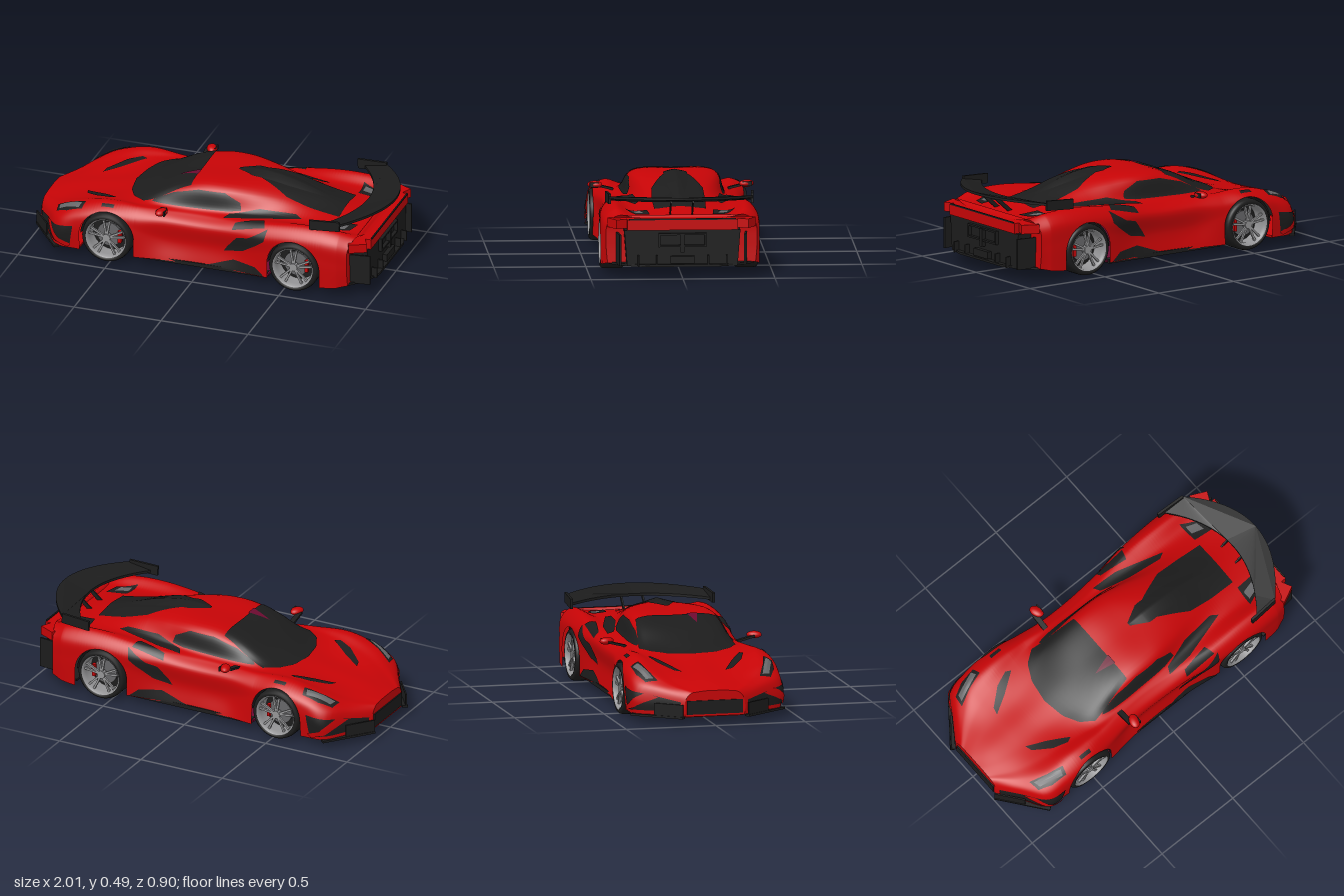
import * as THREE from 'three';

const mat = (name, color) => {
  const m = new THREE.MeshStandardMaterial({ color, side: THREE.DoubleSide });
  m.name = name;
  return m;
};
const red = mat('body red', 0xc60406);
const black = mat('carbon black', 0x1c1c1c);
const silver = mat('rim grey', 0x949496);
const lampGrey = mat('lamp grey', 0x666668);
const purple = mat('floor maroon', 0x6c0a30);

// Half-section tracks along the car, nose at -x
// x, sillZ, midZ, midY, upperZ, upperY
const LOWER = [
  [-0.98, .165, .17, .10, .16, .15], [-0.9, .28, .29, .12, .27, .18], [-0.82, .40, .41, .14, .38, .21],
  [-0.7, .42, .43, .19, .415, .25], [-0.52, .425, .43, .25, .41, .295], [-0.36, .415, .405, .2, .395, .27],
  [-0.2, .395, .37, .16, .375, .27], [0, .385, .365, .16, .375, .27], [.2, .39, .375, .17, .39, .28],
  [.38, .41, .41, .2, .415, .29], [.56, .425, .43, .24, .42, .315], [.75, .43, .43, .2, .42, .31],
  [.94, .40, .41, .18, .40, .29],
];
// x, fenderZ, fenderY, beltZ, beltY, roofZ, roofY, centreY
const UPPER = [
  [-0.98, .13, .18, .10, .185, .05, .19, .19], [-0.87, .24, .215, .17, .215, .09, .22, .225],
  [-0.75, .33, .275, .22, .258, .11, .247, .25], [-0.6, .34, .322, .25, .298, .12, .275, .277],
  [-0.48, .34, .33, .27, .312, .15, .305, .31], [-0.36, .34, .32, .29, .317, .2, .34, .36],
  [-0.2, .325, .312, .285, .327, .225, .405, .425], [-0.05, .32, .312, .28, .332, .23, .443, .46],
  [.1, .33, .317, .275, .337, .225, .448, .468], [.25, .35, .332, .265, .337, .195, .433, .466],
  [.4, .365, .352, .255, .34, .155, .41, .443], [.58, .36, .37, .26, .337, .13, .368, .395],
  [.75, .355, .366, .27, .33, .13, .337, .347], [.94, .34, .335, .26, .325, .13, .317, .315],
];
const X0 = -0.98, X1 = 0.94, BASE = 0.05;
const WHEELS = [-0.52, 0.555], HUB = 0.142, ARCH = 0.153;

function track(rows, x) {
  let i = 0;
  while (i < rows.length - 2 && x > rows[i + 1][0]) i++;
  const a = rows[i], b = rows[i + 1], p = rows[i - 1] || a, n = rows[i + 2] || b;
  const h = b[0] - a[0], t = (x - a[0]) / h, t2 = t * t, t3 = t2 * t;
  return a.map((v, k) => {
    const ma = (b[k] - p[k]) / (b[0] - p[0]), mb = (n[k] - v) / (n[0] - a[0]);
    return (2 * t3 - 3 * t2 + 1) * v + (t3 - 2 * t2 + t) * h * ma + (3 * t2 - 2 * t3) * b[k] + (t3 - t2) * h * mb;
  });
}

// Full cross-section at x, from one sill over the roof to the other
function section(x) {
  x = Math.min(X1, Math.max(X0, x));
  const l = track(LOWER, x), u = track(UPPER, x);
  const half = [[l[1], BASE], [l[2], l[3]], [l[4], l[5]], [u[1], u[2]], [u[3], u[4]], [u[5], u[6]]];
  const pts = half.map(([z, y]) => new THREE.Vector3(x, y, z));
  const other = half.map(([z, y]) => new THREE.Vector3(x, y, -z)).reverse();
  return new THREE.CatmullRomCurve3([...pts, new THREE.Vector3(x, u[7], 0), ...other]).getPoints(96);
}
// Highest value on one axis where the section crosses c on the other
function crossing(x, c, from, to) {
  const s = section(x);
  let best = -1;
  for (let i = 0; i < s.length - 1; i++) {
    const a = s[i], b = s[i + 1], d = b[from] - a[from];
    if ((a[from] - c) * (b[from] - c) <= 0 && Math.abs(d) > 1e-9)
      best = Math.max(best, a[to] + (b[to] - a[to]) * (c - a[from]) / d);
  }
  return best < 0 ? (to === 'y' ? 0.16 : 0.2) : best;
}
const topAt = (x, z) => crossing(x, z, 'z', 'y');
const sideAt = (x, y) => crossing(x, y, 'y', 'z');

function grid(rows) {
  const n = rows[0].length, pos = [], idx = [];
  rows.forEach(r => r.forEach(p => pos.push(p.x, p.y, p.z)));
  for (let i = 0; i < rows.length - 1; i++)
    for (let j = 0; j < n - 1; j++) {
      const a = i * n + j, b = a + n;
      idx.push(a, b, a + 1, b, b + 1, a + 1);
    }
  const g = new THREE.BufferGeometry();
  g.setAttribute('position', new THREE.Float32BufferAttribute(pos, 3));
  g.setIndex(idx);
  g.computeVertexNormals();
  return g;
}

// Body sections, cut by the wheel arches and swept forward at the tail corners
function bodyRows() {
  const xs = [];
  for (let i = 0; i <= 110; i++) xs.push(X0 + (X1 - X0) * i / 110);
  WHEELS.forEach(w => { for (let i = 0; i <= 30; i++) xs.push(w + ARCH * Math.cos(Math.PI * i / 30)); });
  xs.sort((a, b) => a - b);
  return xs.map(x => {
    let floor = BASE + Math.max(0, x - .72) * .1;
    WHEELS.forEach(w => {
      const d = Math.abs(x - w);
      if (d < ARCH - 1e-5) floor = HUB + Math.sqrt(ARCH * ARCH - d * d);
    });
    const cut = sideAt(x, floor + 1e-4), sweep = .09 * Math.max(0, (x - .8) / .14);
    return section(x).map(p => {
      const low = p.y < floor && (x > .71 || Math.abs(p.z) > .36);
      const z = low ? Math.sign(p.z) * cut : p.z;
      return new THREE.Vector3(x - sweep * (z / .43) ** 2, low ? floor : p.y, z);
    });
  });
}

export function createModel() {
  const car = new THREE.Group();
  car.name = 'sportsCar';
  const add = (name, geo, m, parent = car) => {
    const o = new THREE.Mesh(geo, m);
    o.name = name;
    parent.add(o);
    return o;
  };
  const box = (name, m, [w, h, d], [x, y, z], parent = car) => {
    const o = add(name, new THREE.BoxGeometry(w, h, d), m, parent);
    o.position.set(x, y, z);
    return o;
  };
  const both = f => [1, -1].forEach(f);
  const shape = pts => new THREE.Shape(pts.map(p => new THREE.Vector2(...p)));
  const along = (pts, t) => {
    const f = t * (pts.length - 1), i = Math.min(pts.length - 2, Math.floor(f)), k = f - i;
    return pts[i].map((v, j) => v + (pts[i + 1][j] - v) * k);
  };
  // Thin panel laid on the body between two edges, given as (x, z) on top or (x, y) on the side
  const panel = (name, m, a, b, { side = false, mirror = true, lift = 0, gap = .005 } = {}) => {
    const rows = [];
    for (let i = 0; i <= 28; i++) {
      const row = [], p = along(a, i / 28), q = along(b, i / 28);
      for (let j = 0; j <= 14; j++) {
        const k = j / 14, x = p[0] + (q[0] - p[0]) * k, c = p[1] + (q[1] - p[1]) * k;
        const up = gap + lift * Math.sin(Math.PI * i / 28) * (1 - Math.abs(2 * k - 1));
        row.push(side ? new THREE.Vector3(x, c, sideAt(x, c) + gap) : new THREE.Vector3(x, topAt(x, c) + up, c));
      }
      rows.push(row);
    }
    add(name, grid(rows), m);
    if (mirror) add(name, grid(rows.map(r => r.map(p => new THREE.Vector3(p.x, p.y, -p.z)))), m);
  };

  // Body shell with closed nose and tail
  const rows = bodyRows();
  add('bodyShell', grid(rows), red);
  [rows[0], rows[rows.length - 1]].forEach((r, i) => {
    const cap = r.slice(0, 49).map((p, j) => [p, r[96 - j]]);
    add(i ? 'tailPanel' : 'nosePanel', grid(cap), red);
  });

  // Undertray, floor with wheel notches, and rear diffuser
  const slab = (name, m, top, half) => {
    const s = shape([...half, ...half.map(([x, z]) => [x, -z]).reverse()]);
    add(name, new THREE.ExtrudeGeometry(s, { depth: .012, bevelEnabled: false }).rotateX(Math.PI / 2).translate(0, top, 0), m);
  };
  slab('noseUndertray', red, .058, [[-.97, .15], [-.81, .39], [-.68, .41]]);
  slab('floor', purple, .058, [[-.68, .28], [-.36, .28], [-.36, .38], [-.1, .35], [.2, .35], [.4, .38], [.4, .28], [.73, .28]]);
  slab('diffuserFloor', black, .076, [[.71, .41], [.85, .39], [.93, .31], [.975, .2]]);
  both(s => box('sideSkirt', black, [.74, .022, .05], [.02, .05, s * .365]));

  // Glass and roof
  const fan = pts => [...pts, ...pts.slice(0, -1).reverse().map(([x, z]) => [x, -z])];
  panel('windscreen', black, fan([[-.36, -.27], [-.43, -.22], [-.475, -.13], [-.495, 0]]),
    fan([[-.1, -.225], [-.1, -.15], [-.1, -.07], [-.1, 0]]), { mirror: false });
  panel('windscreenMark', purple, [[-.21, .09], [-.095, .06]], [[-.205, .092], [-.095, .12]], { mirror: false, gap: .008 });
  panel('sideWindow', black, [[-.31, .333], [-.16, .334], [0, .338], [.13, .342], [.2, .352]],
    [[-.3, .342], [-.19, .395], [-.05, .432], [.1, .434], [.19, .39]], { side: true });
  panel('engineCover', black, [[.13, -.005], [.27, -.075], [.42, -.14], [.56, -.145], [.72, -.14]],
    [[.13, .005], [.27, .075], [.42, .14], [.56, .145], [.72, .14]], { mirror: false });
  panel('roofScoop', black, [[.1, -.01], [.2, -.065], [.4, -.06], [.62, -.02]],
    [[.1, .01], [.2, .065], [.4, .06], [.62, .02]], { mirror: false, lift: 0.016 });

  // Vents and lamps on the top surfaces
  panel('rearQuarterVent', black, [[.12, .325], [.27, .315], [.54, .235]], [[.14, .285], [.3, .235], [.5, .212]]);
  panel('shoulderIntake', black, [[.19, .385], [.38, .39]], [[.2, .355], [.36, .33]]);
  panel('hoodVent', black, [[-.73, .12], [-.63, .175], [-.52, .25]], [[-.72, .16], [-.63, .235], [-.55, .265]]);
  panel('lampSurround', black, [[-.84, .285], [-.75, .325], [-.66, .35]], [[-.83, .35], [-.76, .385], [-.67, .395]]);
  panel('headlight', lampGrey, [[-.825, .305], [-.68, .358]], [[-.815, .345], [-.69, .388]], { lift: .004, gap: .008 });
  panel('fenderSlot', black, [[-.56, .37], [-.49, .37]], [[-.56, .39], [-.49, .39]]);
  panel('rearDeckVent', black, [[.72, .18], [.84, .17]], [[.71, .3], [.82, .25]]);
  panel('rearDeckMesh', lampGrey, [[.73, .22], [.8, .2]], [[.73, .27], [.79, .25]], { gap: .008 });

  // Dark shapes on the flanks
  panel('sideIntake', black, [[.14, .155], [.25, .175], [.34, .235], [.385, .27]],
    [[.16, .185], [.22, .255], [.29, .27], [.4, .335]], { side: true });
  panel('sillBlade', black, [[0, .055], [.2, .055], [.385, .055]], [[.06, .065], [.2, .115], [.33, .10]], { side: true });
  panel('frontCornerIntake', black, [[-.97, .075], [-.82, .075], [-.73, .065]], [[-.97, .13], [-.84, .17], [-.71, .19]], { side: true });
  panel('frontCanard', red, [[-.9, .15], [-.82, .085], [-.74, .06]], [[-.86, .17], [-.79, .105], [-.72, .08]], { side: true, gap: .012 });

  // Nose intake, corner blades and splitter
  box('noseIntake', black, [.02, .075, .31], [-.977, .1, 0]);
  both(s => {
    const blade = box('cornerBlade', black, [.17, .07, .008], [-.948, .085, s * .25]);
    blade.rotation.y = -s * 0.91;
    const shelf = box('splitter', black, [.31, .012, .03], [-.9, .048, s * .3]);
    shelf.rotation.y = -s * 0.91;
  });

  // Tail: dark panel, exhaust frame, diffuser and red band
  const tail = new THREE.Group();
  tail.name = 'tail';
  car.add(tail);
  const sheet = (name, s, x, depth) =>
    add(name, new THREE.ExtrudeGeometry(s, { depth, bevelEnabled: false }).rotateY(Math.PI / 2).translate(x, 0, 0), black, tail);
  const rect = (w, y0, y1) => [[-w, y0], [w, y0], [w, y1], [-w, y1]];
  sheet('rearPanel', shape([[-.3, .065], [.3, .065], [.315, .26], [-.315, .26]]), .84, .105);
  const frame = shape(rect(.13, .17, .245));
  frame.holes.push(shape(rect(.12, .18, .235)));
  sheet('exhaustFrame', frame, .94, .025);
  box('centrePillar', black, [.03, .1, .022], [.955, .19, 0], tail);
  box('exhaust', black, [.04, .04, .13], [.95, .1, 0], tail);
  [-.24, -.14, .14, .24].forEach(z => box('diffuserFin', black, [.09, .06, .008], [.93, .095, z], tail));
  box('tailBand', red, [.11, .058, .6], [.905, .291, 0], tail);
  box('lightStrip', black, [.008, .008, .58], [.96, .322, 0], tail);
  both(s => {
    const corner = box('tailBandCorner', red, [.1, .05, .1], [.89, .295, s * .335], tail);
    corner.rotation.y = s * .45;
    const blade = box('rearBlade', black, [.12, .17, .01], [.91, .155, s * .345], tail);
    blade.rotation.y = s * .12;
  });

  // Crescent rear wing on two struts
  const edge = (x, bow, n = 32) => Array.from({ length: n + 1 }, (_, i) => {
    const z = -.39 + .78 * i / n;
    return [x - bow * (z / .39) ** 2, z];
  });
  const wing = new THREE.ExtrudeGeometry(shape([...edge(1, .19), ...edge(.84, .16).reverse()]), { depth: .014, bevelEnabled: false });
  wing.rotateX(Math.PI / 2);
  const wp = wing.attributes.position;
  for (let i = 0; i < wp.count; i++) {
    const k = (wp.getZ(i) / .39) ** 2;
    wp.setY(i, wp.getY(i) + .412 - .01 * k + .2 * (wp.getX(i) - .84 + .16 * k));
  }
  wing.computeVertexNormals();
  add('rearWing', wing, black);
  both(s => {
    const plate = box('wingEndplate', black, [.17, .055, .014], [.725, .41, s * .392]);
    plate.rotation.set(0, s * .06, .05);
    const strut = box('wingStrut', black, [.13, .022, .008], [.86, .368, s * .06]);
    strut.rotation.z = .72;
  });

  // Door mirrors
  both(s => {
    const stalk = box('mirrorStalk', black, [.03, .012, .1], [-.225, .332, s * .36]);
    stalk.rotation.x = -s * .25;
    const shell = add('mirrorShell', new THREE.SphereGeometry(1, 20, 12), red);
    shell.scale.set(.028, .02, .042);
    shell.position.set(-.205, .348, s * .412);
    shell.rotation.y = -s * .35;
    box('mirrorFace', black, [.008, .026, .05], [-.183, .348, s * .415]);
  });

  // Wheels, with liners inside the arches
  const lathe = pts => new THREE.LatheGeometry(pts.map(p => new THREE.Vector2(...p)), 48).rotateX(Math.PI / 2);
  const tyreGeo = lathe([[.1, -.064], [.13, -.064], [.138, -.056], [.142, -.04], [.142, .04], [.138, .056], [.13, .063], [.115, .064], [.11, .05]]);
  const rimGeo = lathe([[.104, -.06], [.102, .04], [.107, .06], [.115, .065]]);
  const disc = (r, h) => new THREE.CylinderGeometry(r, r, h, 32).rotateX(Math.PI / 2);
  WHEELS.forEach(x => both(s => {
    const wheel = new THREE.Group();
    wheel.name = x < 0 ? 'frontWheel' : 'rearWheel';
    add('tyre', tyreGeo, black, wheel);
    add('rim', rimGeo, silver, wheel);
    add('wheelBack', disc(.102, .01), black, wheel).position.z = -.03;
    add('brakeDisc', disc(.07, .012), lampGrey, wheel);
    add('hub', disc(.022, .03), silver, wheel).position.z = .042;
    box('caliper', red, [.018, .07, .024], [s * .064, 0, .012], wheel);
    for (let i = 0; i < 10; i++) {
      const a = Math.floor(i / 2) * Math.PI * .4 + (i % 2 ? .17 : -.17) + Math.PI / 2;
      const spoke = box('spoke', silver, [.094, .011, .012], [Math.cos(a) * .059, Math.sin(a) * .059, .046], wheel);
      spoke.rotation.z = a;
    }
    wheel.position.set(x, HUB, s * .364);
    if (s < 0) wheel.rotation.y = Math.PI;
    car.add(wheel);
    const liner = new THREE.CylinderGeometry(.152, .152, .13, 32, 1, true, Math.PI / 2, Math.PI).rotateX(Math.PI / 2);
    add('archLiner', liner, black).position.set(x, HUB, s * .345);
    add('archBack', new THREE.CircleGeometry(.152, 32, -.55, Math.PI + 1.1), black).position.set(x, HUB, s * .28);
  }));

  return car;
}
